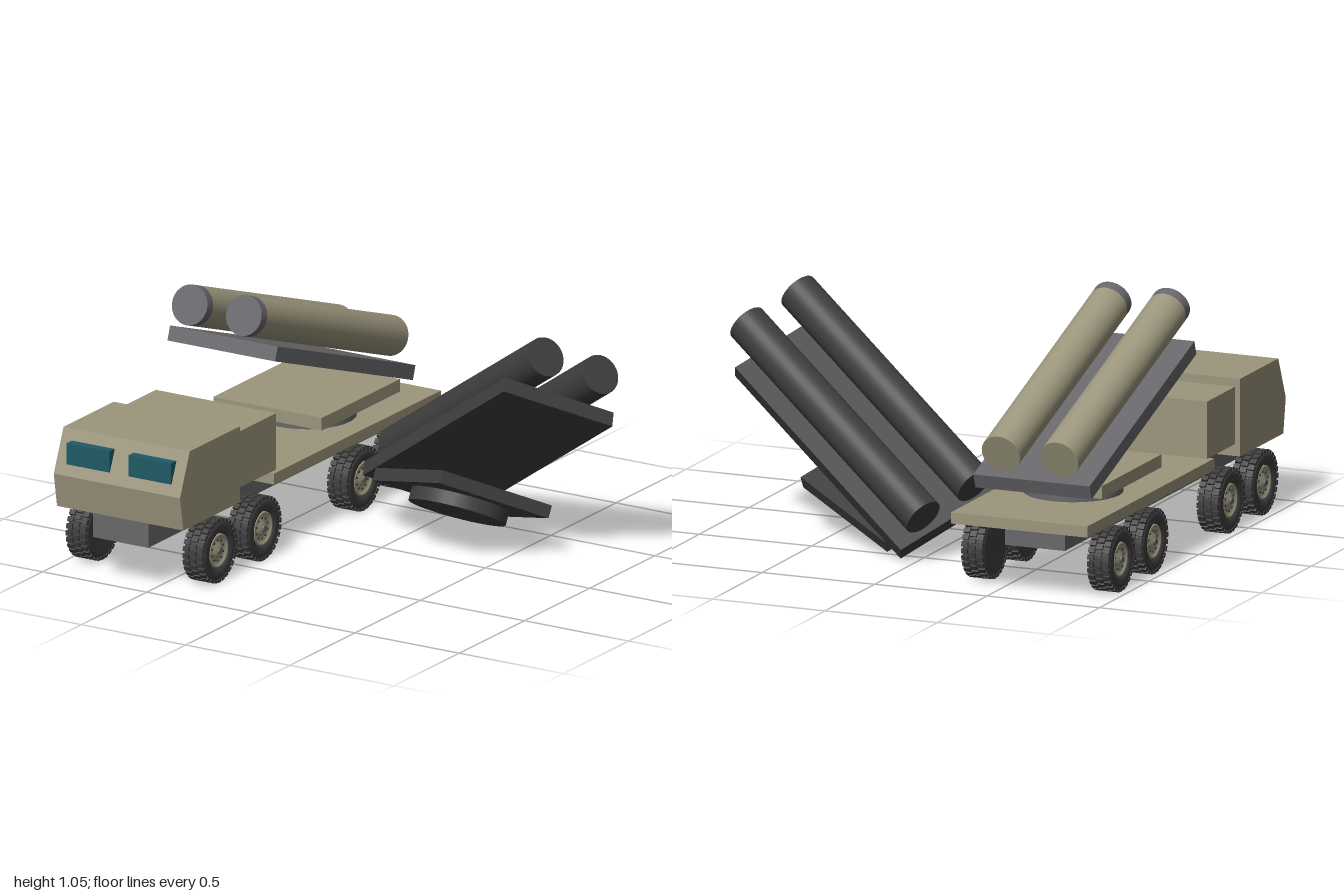
import * as THREE from 'three';
import { mergeGeometries } from 'three/addons/utils/BufferGeometryUtils.js';

const mat = (name, color, extra = {}) => {
  const m = new THREE.MeshStandardMaterial({ color, ...extra });
  m.name = name;
  return m;
};

export function createModel() {
  const tan = mat('tan paint', 0x9c967d);
  const grey = mat('grey metal', 0x68686c);
  const dark = mat('dark rubber', 0x3e3e3e);
  const teal = mat('teal glass', 0x1f5a66);

  const model = new THREE.Group();
  model.name = 'launcherVehicle';

  const add = (parent, name, geo, material, x = 0, y = 0, z = 0) => {
    const mesh = new THREE.Mesh(geo, material);
    mesh.name = name;
    mesh.position.set(x, y, z);
    parent.add(mesh);
    return mesh;
  };
  // box given by its y and z limits
  const slab = (parent, name, material, width, y0, y1, z0, z1, x = 0) =>
    add(parent, name, new THREE.BoxGeometry(width, y1 - y0, z1 - z0), material,
      x, (y0 + y1) / 2, (z0 + z1) / 2);

  // ---- truck body ----
  const truck = new THREE.Group();
  truck.name = 'truck';
  truck.position.x = -0.643;
  model.add(truck);

  slab(truck, 'chassis', grey, 0.265, 0.18, 0.287, -0.84, 0.97);
  slab(truck, 'bed', tan, 0.606, 0.288, 0.335, -1, 0.28);
  slab(truck, 'equipmentBox', tan, 0.577, 0.34, 0.58, 0.24, 0.52);

  // cab: side profile (z, y) extruded across the width
  const profile = [[0.54, 0.285], [0.975, 0.285], [1, 0.43], [0.925, 0.61], [0.54, 0.61]];
  const shape = new THREE.Shape(profile.map(([z, y]) => new THREE.Vector2(-z, y)));
  const cabGeo = new THREE.ExtrudeGeometry(shape, { depth: 0.606, bevelEnabled: false });
  cabGeo.translate(0, 0, -0.303).rotateY(Math.PI / 2);
  add(truck, 'cab', cabGeo, tan);
  for (const s of [-1, 1])
    slab(truck, 'windscreen', teal, 0.205, 0.475, 0.565, 0.935, 0.985, s * 0.148);

  // ---- wheels, axis along +x with the hub on the +x side ----
  const lathe = (points, sides) => new THREE.LatheGeometry(
    points.map(([r, h]) => new THREE.Vector2(r, h)), sides).rotateZ(-Math.PI / 2);

  const tyreGeo = lathe([[0, -0.045], [0.085, -0.045], [0.105, -0.049], [0.119, -0.046],
    [0.126, -0.036], [0.126, 0.036], [0.119, 0.046], [0.105, 0.049], [0.078, 0.047],
    [0.07, 0.03]], 36);
  const blocks = [];
  const count = 28;
  for (let i = 0; i < count; i++) {
    for (const row of [-1, 0, 1]) {
      const block = new THREE.BoxGeometry(0.028, 0.014, 0.021);
      block.translate(row * 0.033, 0.1285, 0);
      block.rotateX((i + (row === 0 ? 0.5 : 0)) * Math.PI * 2 / count);
      blocks.push(block);
    }
  }
  const treadGeo = mergeGeometries(blocks);
  const rimGeo = lathe([[0.072, 0.028], [0.07, 0.044], [0.063, 0.044], [0.058, 0.034],
    [0.03, 0.036], [0.026, 0.046], [0, 0.046]], 28);
  const capGeo = new THREE.CylinderGeometry(0.013, 0.015, 0.008, 14).rotateZ(-Math.PI / 2);
  const bolts = [];
  for (let i = 0; i < 10; i++) {
    const a = i * Math.PI / 5;
    const bolt = new THREE.CylinderGeometry(0.005, 0.005, 0.006, 8).rotateZ(-Math.PI / 2);
    bolts.push(bolt.translate(0.037, 0.044 * Math.cos(a), 0.044 * Math.sin(a)));
  }
  const boltGeo = mergeGeometries(bolts);

  for (const side of [-1, 1]) {
    for (const z of [0.735, 0.395, -0.373, -0.71]) {
      const wheel = new THREE.Group();
      wheel.name = 'wheel';
      wheel.position.set(side * 0.28, 0.136, z);
      if (side < 0) wheel.rotation.y = Math.PI;
      add(wheel, 'tyre', tyreGeo, dark);
      add(wheel, 'tread', treadGeo, dark);
      add(wheel, 'rim', rimGeo, tan);
      add(wheel, 'hubCap', capGeo, grey, 0.049);
      add(wheel, 'wheelBolts', boltGeo, dark);
      truck.add(wheel);
    }
  }

  // ---- launcher, origin at the middle of its base plate ----
  const makeLauncher = (name, plateMat, ringMat, railMat, tubeMat, capMat) => {
    const launcher = new THREE.Group();
    launcher.name = name;
    slab(launcher, 'basePlate', plateMat, 0.52, -0.027, 0.027, -0.3, 0.3);
    add(launcher, 'turntable', new THREE.CylinderGeometry(0.205, 0.205, 0.056, 32),
      ringMat, 0, -0.055, 0);

    // raised rail and its two tubes
    const raised = new THREE.Group();
    raised.name = 'raisedRail';
    raised.position.set(0, 0.21, 0.117);
    raised.rotation.x = -0.34;
    launcher.add(raised);
    slab(raised, 'rail', railMat, 0.517, -0.031, 0.031, -0.56, 0.56);
    const tubeGeo = new THREE.CylinderGeometry(0.084, 0.084, 1.148, 32).rotateX(Math.PI / 2);
    const endGeo = new THREE.CylinderGeometry(0.084, 0.084, 0.045, 32).rotateX(Math.PI / 2);
    for (const s of [-1, 1]) {
      add(raised, 'tube', tubeGeo, tubeMat, s * 0.13, 0.131, 0.0345);
      add(raised, 'tubeCap', endGeo, capMat, s * 0.13, 0.131, 0.631);
    }
    return launcher;
  };

  // one mounted on the bed
  const mounted = makeLauncher('mountedLauncher', tan, grey, grey, tan, grey);
  mounted.position.set(0, 0.418, -0.455);
  truck.add(mounted);

  // one dark, loose and tilted beside the truck
  const loose = makeLauncher('looseLauncher', dark, dark, dark, dark, dark);
  loose.position.set(0.26, 0.222, -0.205);
  loose.rotation.set(-0.497, 0.99, 0);
  model.add(loose);

  return model;
}
